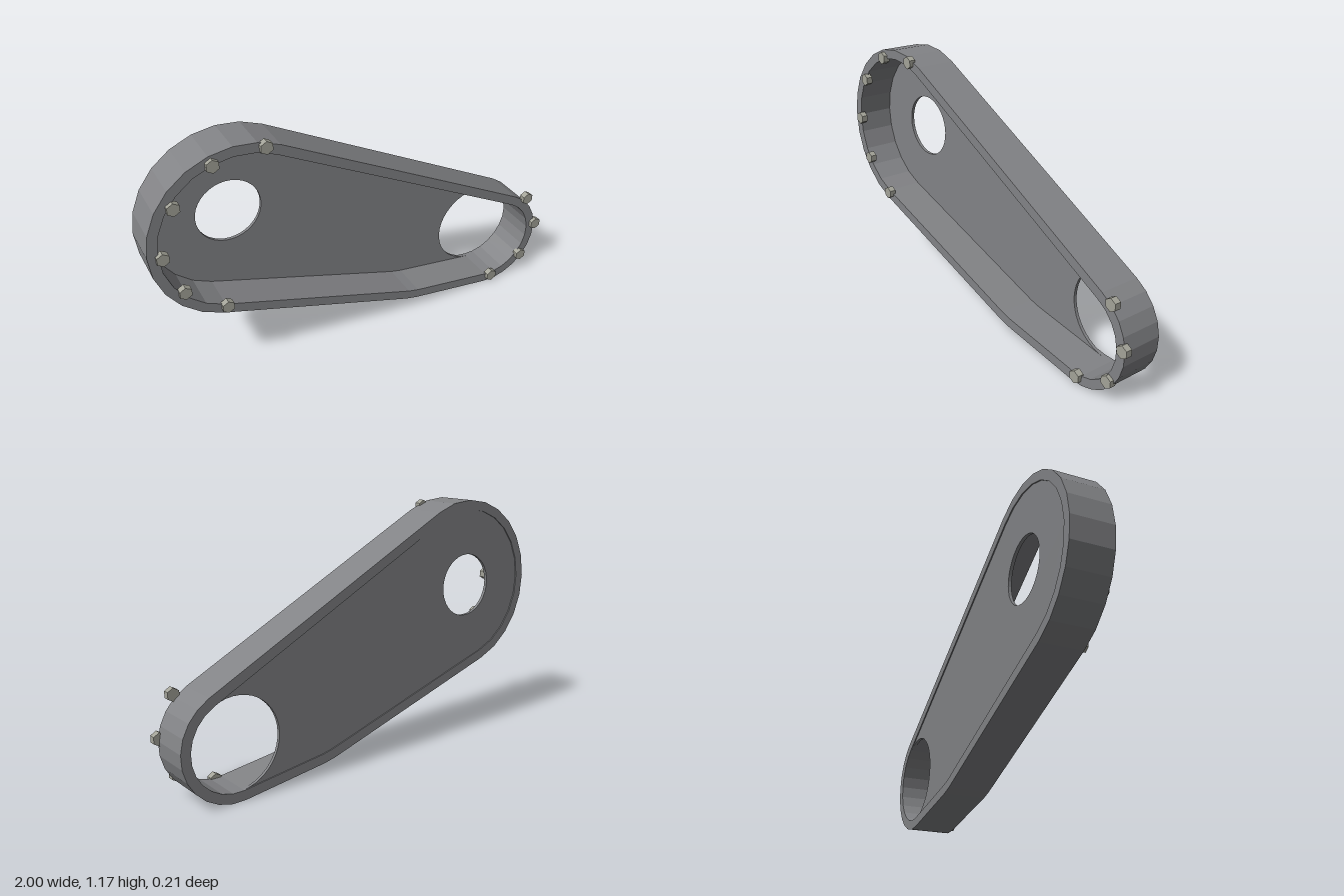
import * as THREE from 'three';

const BIG = { x: -0.59, y: 0.765, r: 0.41 };
const SMALL = { x: 0.72, y: 0.26, r: 0.255 };
const BEND = { x: 0.32, y: 0.39, r: 0.33 };
const TOP = 62.6, LOW = 252, BASE = 262.7; // angles where straight runs meet the arcs
const WALL = 0.045;
const BACK = -0.105, FRONT = 0.09;

// Points along an arc, angles in degrees
function arc(c, r, from, to, steps) {
  return Array.from({ length: steps + 1 }, (_, i) => {
    const a = THREE.MathUtils.degToRad(from + (to - from) * i / steps);
    return new THREE.Vector2(c.x + r * Math.cos(a), c.y + r * Math.sin(a));
  });
}

// Housing outline, moved inwards by a given distance
function outline(inset) {
  return [
    ...arc(BIG, BIG.r - inset, TOP, LOW, 13),
    ...arc(BEND, BEND.r - inset, LOW, BASE, 1),
    ...arc(SMALL, SMALL.r - inset, BASE, TOP + 360, 11),
  ];
}

function extrude(shape, z0, z1) {
  const geometry = new THREE.ExtrudeGeometry(shape, { depth: z1 - z0, bevelEnabled: false });
  return geometry.translate(0, 0, z0);
}

export function createModel() {
  const group = new THREE.Group();
  const coverMaterial = new THREE.MeshStandardMaterial({ color: 0x828386, flatShading: true });
  const boltMaterial = new THREE.MeshStandardMaterial({ color: 0xa3a398, flatShading: true });

  function add(name, geometry, material) {
    const mesh = new THREE.Mesh(geometry, material);
    mesh.name = name;
    group.add(mesh);
    return mesh;
  }

  // Deep wall running around the cover
  const wall = new THREE.Shape(outline(0));
  wall.holes.push(new THREE.Path(outline(WALL)));
  add('rimWall', extrude(wall, BACK, FRONT), coverMaterial);

  // Thin back plate, cut away around the large opening
  const plate = new THREE.Shape([
    ...arc(BIG, BIG.r - WALL, TOP, LOW, 13),
    ...arc(BEND, BEND.r - WALL, LOW, BASE, 1),
    ...arc(SMALL, SMALL.r - WALL, BASE, TOP, 24),
  ]);
  plate.holes.push(new THREE.Path(arc(BIG, 0.15, 360, 0, 36).slice(0, -1)));
  add('backPlate', extrude(plate, BACK + 0.005, BACK + 0.02), coverMaterial);

  // Hexagonal bolt heads around the front edge
  const boltGeometry = new THREE.CylinderGeometry(0.03, 0.03, 0.03, 6).rotateX(Math.PI / 2);
  const boltPositions = [
    [-0.468, 1.14], [-0.695, 1.12], [-0.87, 0.975], [-0.94, 0.755], [-0.87, 0.555],
    [-0.695, 0.41], [0.723, 0.043], [0.9, 0.115], [0.972, 0.29], [0.9, 0.465],
  ];
  boltPositions.forEach(([x, y], i) => {
    add('bolt' + (i + 1), boltGeometry, boltMaterial).position.set(x, y, 0.093);
  });

  return group;
}
